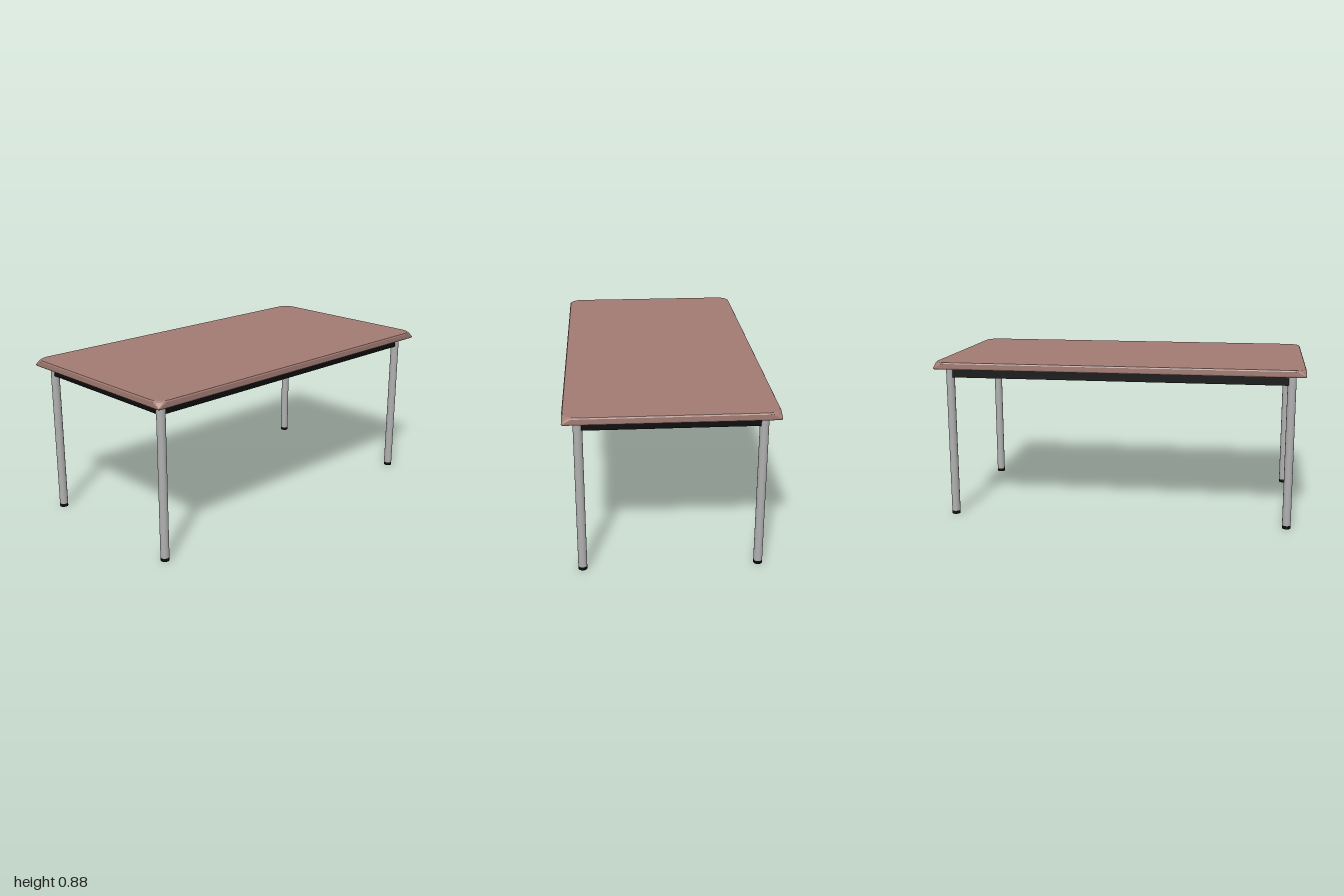
import * as THREE from 'three';

const HALF_X = 1, HALF_Z = 0.53;
const LEG_X = 0.928, LEG_Z = 0.455, LEG_R = 0.023;
const TOP_UNDER = 0.837, APRON_LOW = 0.785, FOOT_H = 0.018;

// One horizontal outline of the table top: a rectangle with corner radius r
function outline(y, inset, r, steps) {
  const points = [];
  for (let corner = 0; corner < 4; corner++) {
    const sx = corner === 0 || corner === 3 ? 1 : -1;
    const sz = corner < 2 ? 1 : -1;
    for (let i = 0; i <= steps; i++) {
      const a = (corner + i / steps) * Math.PI / 2;
      points.push([
        sx * (HALF_X - inset - r) + r * Math.cos(a), y,
        sz * (HALF_Z - inset - r) + r * Math.sin(a),
      ]);
    }
  }
  return points;
}

// Slab with square lower corners that blend into rounded upper corners
function topGeometry() {
  const steps = 8;
  const rings = [
    outline(TOP_UNDER, 0.003, 0.006, steps),
    outline(0.844, 0, 0.001, steps),
    outline(0.868, 0, 0.055, steps),
    outline(0.875, 0.004, 0.07, steps),
  ];
  const pos = [];
  const tri = (a, b, c) => pos.push(...a, ...b, ...c);
  const n = rings[0].length;
  for (let i = 0; i < n; i++) {
    const j = (i + 1) % n;
    for (let k = 0; k < rings.length - 1; k++) {
      const lo = rings[k], hi = rings[k + 1];
      tri(lo[i], hi[i], hi[j]);
      tri(lo[i], hi[j], lo[j]);
    }
    const last = rings[rings.length - 1];
    tri([0, 0.875, 0], last[j], last[i]);
    tri([0, TOP_UNDER, 0], rings[0][i], rings[0][j]);
  }
  const geometry = new THREE.BufferGeometry();
  geometry.setAttribute('position', new THREE.Float32BufferAttribute(pos, 3));
  geometry.computeVertexNormals();
  return geometry;
}

export function createModel() {
  const model = new THREE.Group();
  model.name = 'table';

  const material = (name, color) => {
    const m = new THREE.MeshStandardMaterial({ color });
    m.name = name;
    return m;
  };
  const wood = material('reddish brown wood', 0xa27c73);
  const metal = material('grey metal', 0xb0b0b0);
  const black = material('black', 0x0c0c0c);

  const add = (parent, name, geometry, mat, x, y, z) => {
    const mesh = new THREE.Mesh(geometry, mat);
    mesh.name = name;
    mesh.position.set(x, y, z);
    parent.add(mesh);
  };

  add(model, 'tableTop', topGeometry(), wood, 0, 0, 0);

  // Apron rails run between the legs just under the top
  const railH = TOP_UNDER - APRON_LOW, railY = (TOP_UNDER + APRON_LOW) / 2, railT = 0.03;
  const longRail = new THREE.BoxGeometry(LEG_X * 2, railH, railT);
  const shortRail = new THREE.BoxGeometry(railT, railH, LEG_Z * 2);
  for (const s of [1, -1]) {
    add(model, s > 0 ? 'frontApron' : 'backApron', longRail, black, 0, railY, s * LEG_Z);
    add(model, s > 0 ? 'leftApron' : 'rightApron', shortRail, black, s * LEG_X, railY, 0);
  }

  // Round legs, each on a black foot
  const legH = TOP_UNDER - FOOT_H;
  const legGeometry = new THREE.CylinderGeometry(LEG_R, LEG_R, legH, 24);
  const footGeometry = new THREE.CylinderGeometry(LEG_R, LEG_R, FOOT_H, 24);
  for (const sx of [1, -1]) {
    for (const sz of [1, -1]) {
      const leg = new THREE.Group();
      leg.name = (sz > 0 ? 'front' : 'back') + (sx > 0 ? 'Left' : 'Right') + 'Leg';
      leg.position.set(sx * LEG_X, 0, sz * LEG_Z);
      add(leg, 'legTube', legGeometry, metal, 0, FOOT_H + legH / 2, 0);
      add(leg, 'foot', footGeometry, black, 0, FOOT_H / 2, 0);
      model.add(leg);
    }
  }
  return model;
}
